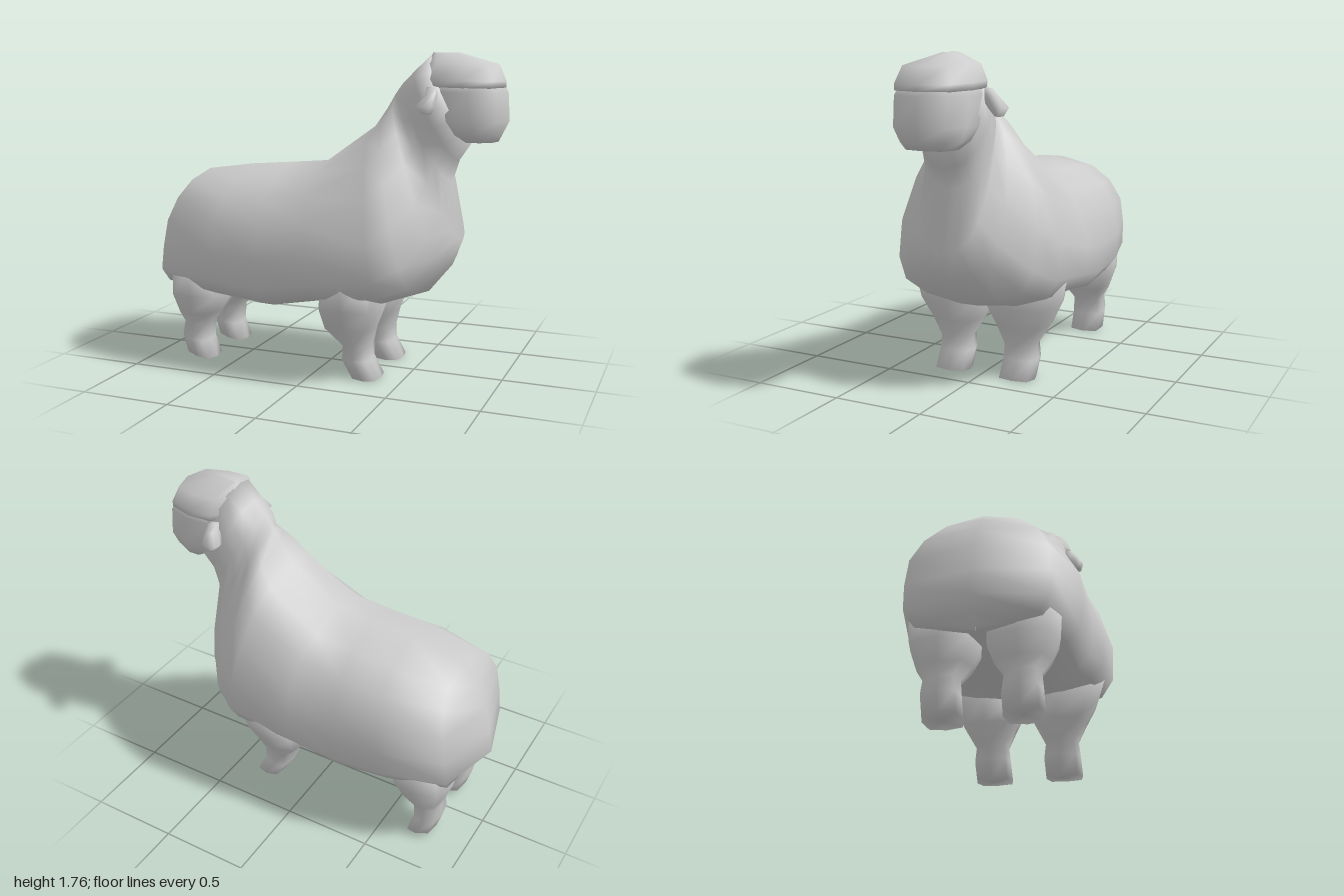
import * as THREE from 'three';
import { mergeVertices } from 'three/addons/utils/BufferGeometryUtils.js';

const material = new THREE.MeshStandardMaterial({ color: 0xcccccc });

// Skin a list of equal-length rings, closing both ends with a fan
function loft(name, rings) {
  const n = rings[0].length;
  const pos = rings.flat(2);
  const index = [];
  for (let i = 0; i < rings.length - 1; i++) {
    for (let j = 0; j < n; j++) {
      const a = i * n + j, b = i * n + (j + 1) % n;
      index.push(a, a + n, b, a + n, b + n, b);
    }
  }
  for (const i of [0, rings.length - 1]) {
    const c = pos.length / 3;
    pos.push(...[0, 1, 2].map(k => rings[i].reduce((s, p) => s + p[k], 0) / n));
    for (let j = 0; j < n; j++) {
      const a = i * n + j, b = i * n + (j + 1) % n;
      if (i === 0) index.push(c, a, b);
      else index.push(c, b, a);
    }
  }
  let geo = new THREE.BufferGeometry();
  geo.setAttribute('position', new THREE.Float32BufferAttribute(pos, 3));
  geo.setIndex(index);
  geo = mergeVertices(geo, 1e-4);
  geo.computeVertexNormals();
  const mesh = new THREE.Mesh(geo, material);
  mesh.name = name;
  return mesh;
}

// Fleece profile from belly to back: height fraction, width fraction, bow fraction
const PROFILE = [
  [0, 0, 0], [0.03, 0.5, 0.12], [0.09, 0.84, 0.42], [0.2, 0.98, 1], [0.4, 1, 1],
  [0.62, 0.86, 0.95], [0.8, 0.67, 0.65], [0.93, 0.42, 0.25], [1, 0, 0],
];

// Body ring between an underside point and a back point: half width w,
// blends of the upper and lower half towards an ellipse, bow of the middle
function bodyRing([bx, by, tx, ty, w, upper = 0, lower = 0, bow = 0]) {
  const half = PROFILE.map(([t, f, b]) => {
    const round = 2 * Math.sqrt(t * (1 - t));
    return [
      bx + (tx - bx) * t + bow * b,
      by + (ty - by) * t,
      w * (f + (round - f) * (t > 0.5 ? upper : lower)),
    ];
  });
  const mirrored = half.slice(1, -1).map(([x, y, z]) => [x, y, -z]).reverse();
  return [...half, ...mirrored];
}

// Head outline seen from above: pointed nose, parallel cheeks
function headRing([y, tip, back, w, tilt = 0]) {
  const len = tip - back;
  const half = [
    [tip - 0.1 * len, 0.76 * w], [tip - 0.45 * len, w],
    [back + 0.2 * len, w], [back + 0.04 * len, 0.6 * w],
  ];
  const mirrored = half.map(([x, z]) => [x, -z]).reverse();
  return [[tip, 0], ...half, [back, 0], ...mirrored]
    .map(([x, z]) => [x, y + tilt * (0.97 - x), z]);
}

// Rounded-square ring for legs and ears: x range and z range at one height,
// with an optional rise towards the rear
function limbRing([y, x0, x1, z0, z1, rise = 0], side) {
  const square = v => Math.sign(v) * Math.abs(v) ** 0.6;
  return Array.from({ length: 8 }, (_, j) => {
    const a = j / 8 * Math.PI * 2;
    const cx = square(Math.cos(a)), cz = square(Math.sin(a));
    return [
      (x0 + x1) / 2 + cx * (x1 - x0) / 2,
      y + rise * (1 - cx) / 2,
      side * (z0 + z1) / 2 + cz * (z1 - z0) / 2,
    ];
  });
}

export function createModel() {
  const group = new THREE.Group();
  group.name = 'sheep';

  // Woolly body from the rump ridge to the top of the neck
  group.add(loft('body', [
    [-0.88, 0.40, -0.77, 1.08, 0, 0, 0, -0.142],
    [-0.87, 0.40, -0.77, 1.08, 0.365, 1, 0, -0.05],
    [-0.56, 0.365, -0.49, 1.12, 0.46, 0.9, 0.1],
    [-0.26, 0.33, -0.25, 1.14, 0.467, 0.7, 0.1],
    [0.04, 0.39, -0.02, 1.16, 0.49, 0.35, 0.05],
    [0.39, 0.40, 0.26, 1.36, 0.485, 0, 0, 0.035],
    [0.58, 0.46, 0.33, 1.46, 0.41, 0, 0],
    [0.71, 0.62, 0.37, 1.53, 0.275, 0.1, 0.1],
    [0.765, 0.76, 0.39, 1.56, 0.19, 0.6, 0.5],
    [0.70, 1.08, 0.42, 1.60, 0.195, 0.8, 0.8],
    [0.735, 1.19, 0.49, 1.67, 0.195, 1, 1],
    [0.81, 1.30, 0.58, 1.755, 0.197, 1, 0.8],
  ].map(bodyRing)));

  // Face under the wool cap
  group.add(loft('face', [
    [1.30, 0.945, 0.77, 0.13],
    [1.34, 0.965, 0.70, 0.165],
    [1.41, 1.0, 0.64, 0.19],
    [1.56, 0.99, 0.60, 0.19],
    [1.62, 0.95, 0.60, 0.17],
  ].map(headRing)));

  // Wool cap with an overhanging brim, sunk into the neck at the back
  group.add(loft('woolCap', [
    [1.575, 0.94, 0.60, 0.17, 0.02],
    [1.582, 0.978, 0.57, 0.198, 0.03],
    [1.615, 0.978, 0.56, 0.2, 0.03],
    [1.70, 0.94, 0.57, 0.165, 0.02],
    [1.76, 0.73, 0.58, 0.02],
  ].map(headRing)));

  // Drooping ears and short legs flaring into the body, rings from the bottom up
  const limbs = {
    Ear: [
      [1.45, 0.60, 0.65, 0.235, 0.272],
      [1.49, 0.56, 0.665, 0.20, 0.287],
      [1.55, 0.605, 0.665, 0.16, 0.25],
      [1.585, 0.605, 0.66, 0.16, 0.215],
    ],
    FrontLeg: [
      [0, 0.22, 0.375, 0.095, 0.30],
      [0.10, 0.16, 0.32, 0.095, 0.30],
      [0.18, 0.16, 0.32, 0.105, 0.29],
      [0.28, 0.06, 0.345, 0.055, 0.345],
      [0.40, 0.04, 0.39, 0.0, 0.41],
      [0.58, 0.08, 0.38, 0.03, 0.465],
    ],
    BackLeg: [
      [0, -0.80, -0.64, 0.095, 0.30, 0.04],
      [0.10, -0.83, -0.68, 0.095, 0.30, 0.04],
      [0.20, -0.82, -0.67, 0.105, 0.29, 0.02],
      [0.28, -0.84, -0.61, 0.055, 0.335],
      [0.39, -0.875, -0.55, 0.01, 0.375],
      [0.54, -0.86, -0.58, 0.03, 0.385],
    ],
  };
  for (const [name, rows] of Object.entries(limbs)) {
    for (const side of [1, -1]) {
      const prefix = side > 0 ? 'right' : 'left';
      group.add(loft(prefix + name, rows.map(r => limbRing(r, side))));
    }
  }
  return group;
}
